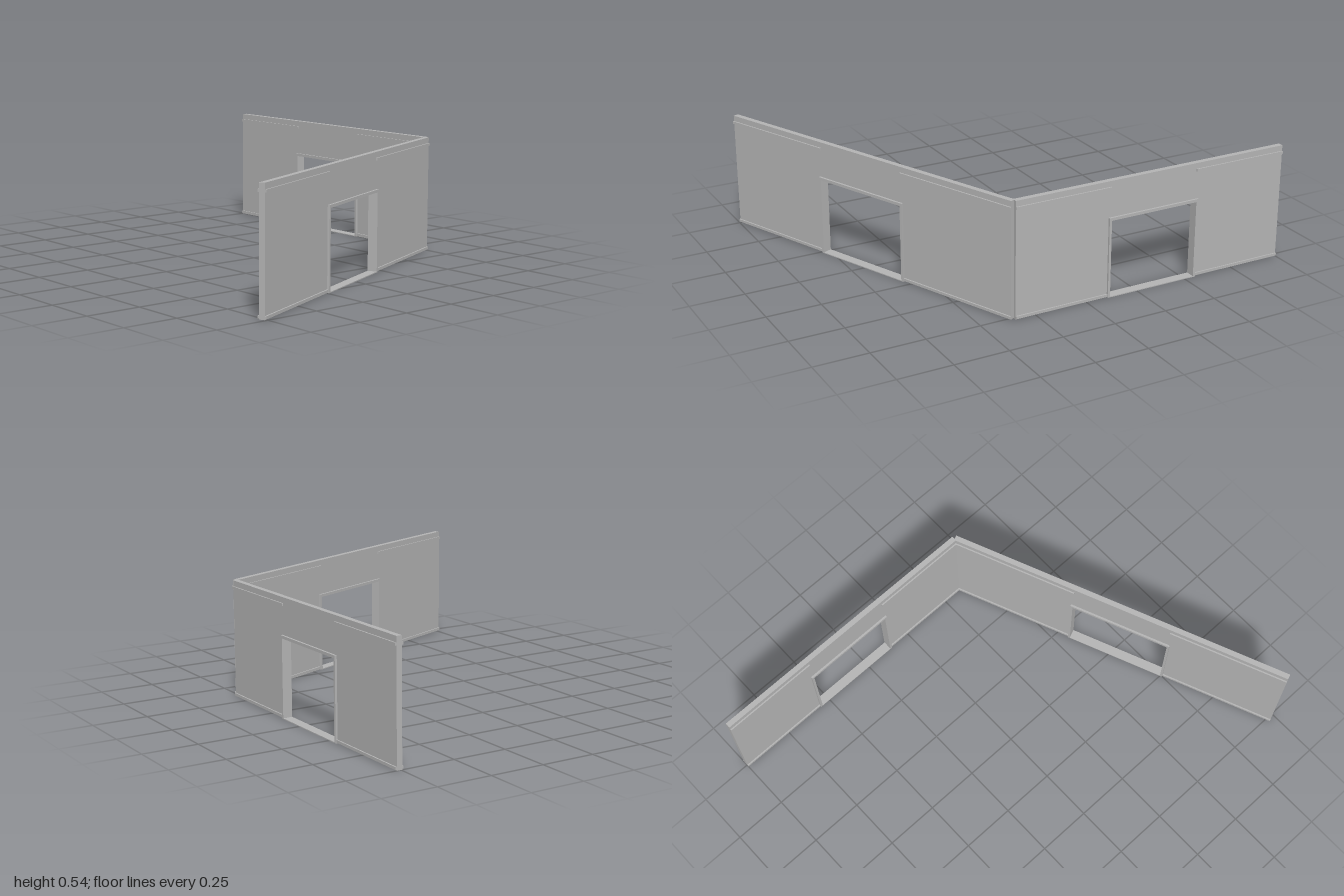
import * as THREE from 'three';

const HEIGHT = 0.535, HALF = 0.0125, RAIL = 0.019, FRAME = 0.022, HEAD = 0.357, TRIM = 0.011;

const grey = new THREE.MeshStandardMaterial({ color: 0xb4b4b4 });
grey.name = 'plain grey';

// box given by its limits along the wall and in height, centred in depth
function slab(parent, name, x0, x1, y0, y1, z0, z1) {
  const mesh = new THREE.Mesh(new THREE.BoxGeometry(x1 - x0, y1 - y0, z1 - z0), grey);
  mesh.position.set((x0 + x1) / 2, (y0 + y1) / 2, (z0 + z1) / 2);
  mesh.name = name;
  parent.add(mesh);
}

// extruded plate, centred in depth
function plate(parent, name, points, half) {
  const shape = new THREE.Shape(points.map(([x, y]) => new THREE.Vector2(x, y)));
  const geo = new THREE.ExtrudeGeometry(shape, { depth: 2 * half, bevelEnabled: false });
  geo.translate(0, 0, -half);
  const mesh = new THREE.Mesh(geo, grey);
  mesh.name = name;
  parent.add(mesh);
}

// arch-like outline: outer rectangle with a doorway open to the floor
const portal = (x0, x1, top, a, b, head) => [
  [x0, 0], [a, 0], [a, head], [b, head], [b, 0], [x1, 0], [x1, top], [x0, top],
];

// one wall running along local x from 0 to length, with a doorway from a to b
function makeWall(name, length, a, b) {
  const wall = new THREE.Group();
  wall.name = name;
  plate(wall, 'wallPanel', portal(0, length, HEIGHT, a, b, HEAD), HALF);
  plate(wall, 'doorFrame', portal(a - TRIM, b + TRIM, HEAD + 0.013, a, b, HEAD), FRAME);
  slab(wall, 'threshold', a, b, 0, 0.004, -FRAME, FRAME);

  // narrow rails on both faces, beside the doorway, near the top and at the floor
  for (const side of [-1, 1]) {
    const z0 = side > 0 ? HALF : -RAIL, z1 = side > 0 ? RAIL : -HALF;
    for (const [x0, x1, gap] of [[0, a, -TRIM], [b, length, TRIM]]) {
      slab(wall, 'topRail', x0, x1, 0.497, 0.509, z0, z1);
      slab(wall, 'baseRail', gap > 0 ? x0 + gap : x0, gap < 0 ? x1 + gap : x1, 0.004, 0.016, z0, z1);
    }
  }
  return wall;
}

export function createModel() {
  const model = new THREE.Group();
  model.name = 'cornerWalls';

  // straight wall at the back
  const back = makeWall('backWall', 1.345, 0.457, 0.887);
  back.position.set(-1, 0, -0.757);
  model.add(back);

  // slanted wall running forward from the corner
  const dx = 0.63, dz = 1.521;
  const slanted = makeWall('slantedWall', Math.hypot(dx, dz), 0.607, 1.081);
  slanted.position.set(0.351, 0, -0.757);
  slanted.rotation.y = -Math.atan2(dz, dx);
  model.add(slanted);

  return model;
}
